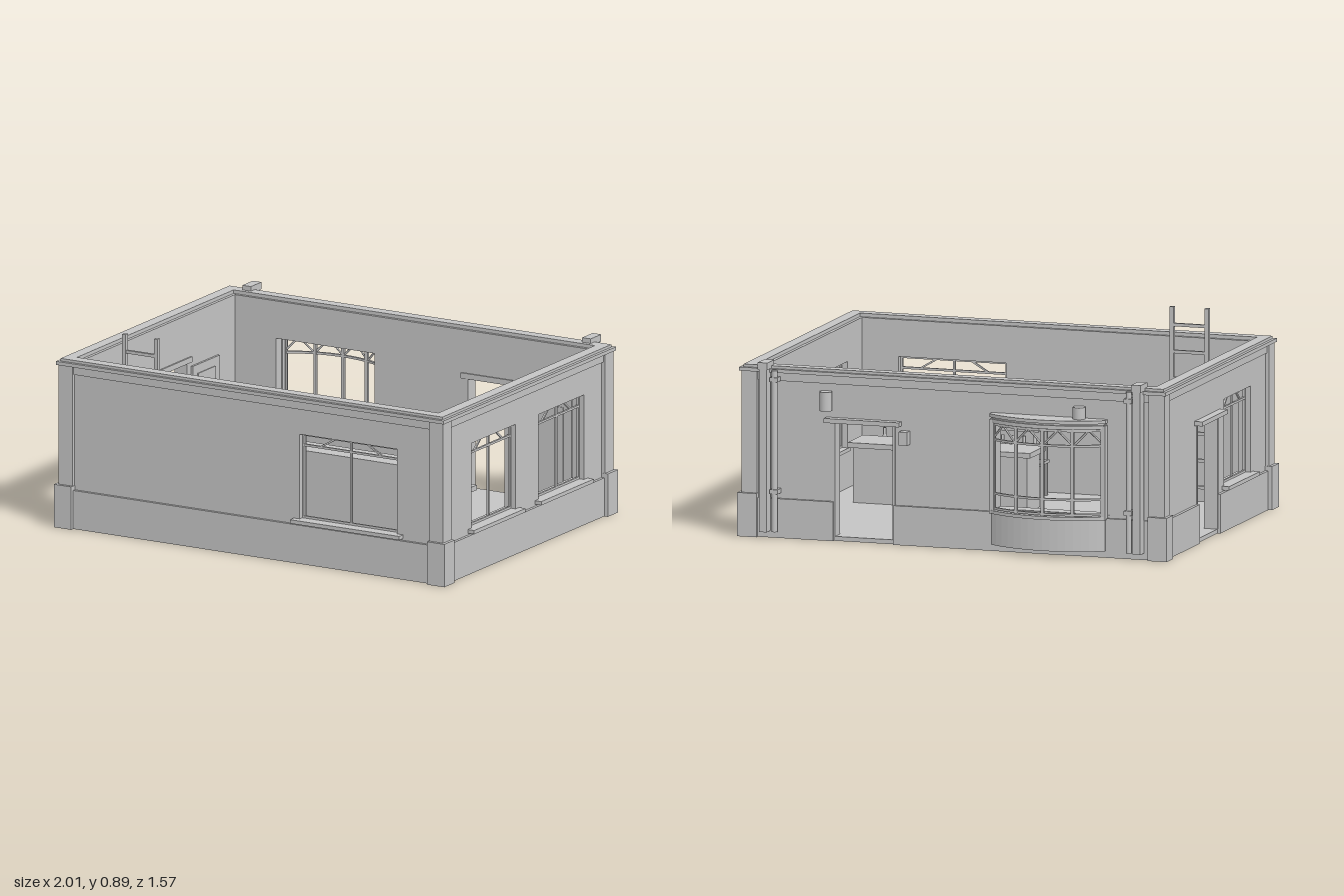
import * as THREE from 'three';

const HX = 1.0, HZ = 0.745;
const stone = new THREE.MeshStandardMaterial({ color: 0xc4c4c4 });
stone.name = 'plain grey';

function add(parent, name, geometry) {
  const mesh = new THREE.Mesh(geometry, stone);
  mesh.name = name;
  parent.add(mesh);
  return mesh;
}

// Box given by its limits on each axis
function box(parent, name, x0, x1, y0, y1, z0, z1) {
  const mesh = add(parent, name, new THREE.BoxGeometry(x1 - x0, y1 - y0, z1 - z0));
  mesh.position.set((x0 + x1) / 2, (y0 + y1) / 2, (z0 + z1) / 2);
  return mesh;
}

// Thin square bar between two points in a vertical plane
function bar(parent, name, xa, ya, xb, yb, z, t) {
  const mesh = add(parent, name, new THREE.BoxGeometry(Math.hypot(xb - xa, yb - ya), t, t));
  mesh.position.set((xa + xb) / 2, (ya + yb) / 2, z);
  mesh.rotation.z = Math.atan2(yb - ya, xb - xa);
}

function rectPoints(x0, x1, y0, y1) {
  return [[x0, y0], [x1, y0], [x1, y1], [x0, y1]].map(p => new THREE.Vector2(...p));
}

// Horizontal slab from a plan outline whose y axis points to -z
function slab(parent, name, shape, y0, y1) {
  const g = new THREE.ExtrudeGeometry(shape, { depth: y1 - y0, bevelEnabled: false });
  g.rotateX(-Math.PI / 2);
  const mesh = add(parent, name, g);
  mesh.position.y = y0;
  return mesh;
}

// Rectangular band around the building, inset from the footprint
function ring(parent, name, outer, inner, y0, y1) {
  const shape = new THREE.Shape(rectPoints(-HX + outer, HX - outer, -HZ + outer, HZ - outer));
  shape.holes.push(new THREE.Path(rectPoints(-HX + inner, HX - inner, -HZ + inner, HZ - inner)));
  slab(parent, name, shape, y0, y1);
}

// Casement with a centre mullion, transom and slanting top glazing bars
function windowFrame(wall, a, b, d) {
  const g = new THREE.Group(), m = (a + b) / 2, w = b - a, z = d - 0.06, t = 0.01;
  g.name = 'window';
  wall.add(g);
  box(g, 'windowSill', a - 0.03, b + 0.03, 0.183, 0.2, d - 0.096, d + 0.001);
  for (const x of [a + t / 2, m, b - t / 2]) bar(g, 'mullion', x, 0.2, x, 0.585, z, t);
  for (const y of [0.205, 0.532, 0.58]) bar(g, 'windowRail', a, y, b, y, z, t);
  for (const s of [-1, 1]) bar(g, 'slantedBar', m + s * w * 0.32, 0.532, m + s * w * 0.16, 0.58, z, 0.008);
}

// Doorway trim and the leaf swung flat against the inner wall
function doorway(wall, a, b, d, leafSide) {
  const g = new THREE.Group();
  g.name = 'doorway';
  wall.add(g);
  box(g, 'innerHeader', a - 0.03, b + 0.03, 0.53, 0.555, d - 0.097, d - 0.09);
  box(g, 'outerHeader', a - 0.035, b + 0.035, 0.53, 0.55, d - 0.04, d + 0.006);
  for (const x of [a, b]) box(g, 'doorJamb', x - 0.006, x + 0.006, 0.02, 0.53, d - 0.092, d - 0.028);
  const e = leafSide > 0 ? b + 0.03 : a - 0.03 - 0.23;
  box(g, 'doorLeaf', e, e + 0.23, 0.025, 0.51, d - 0.1, d - 0.09);
  box(g, 'doorPanel', e + 0.04, e + 0.19, 0.07, 0.47, d - 0.104, d - 0.1);
}

// One wall; local x runs along it and local z points outward
function makeWall(parent, name, turn, d, half, plinthHalf, windows, doors, bay) {
  const wall = new THREE.Group();
  wall.name = name;
  wall.rotation.y = turn;
  parent.add(wall);
  const shape = new THREE.Shape(rectPoints(-half, half, 0.0, 0.75));
  const hole = (a, b, y0, y1) => shape.holes.push(new THREE.Path(rectPoints(a, b, y0, y1)));
  windows.forEach(([a, b]) => hole(a, b, 0.2, 0.585));
  doors.forEach(([a, b]) => hole(a, b, 0.02, 0.53));
  if (bay) hole(bay[0], bay[1], 0.185, 0.58);
  const g = new THREE.ExtrudeGeometry(shape, { depth: 0.058, bevelEnabled: false });
  add(wall, name + 'Panel', g).position.z = d - 0.09;
  // Plinth broken by the doorways
  let start = -plinthHalf;
  for (const [a, b] of [...doors, [plinthHalf, 0]]) {
    box(wall, 'plinth', start, a, 0, 0.175, d - 0.035, d - 0.018);
    start = b;
  }
  windows.forEach(([a, b]) => windowFrame(wall, a, b, d));
  doors.forEach(([a, b, side]) => doorway(wall, a, b, d, side));
  return wall;
}

// Bowed window on the back wall
const BAY_X = 0.445, BAY_A = 0.27, BAY_S = 0.08;
const BAY_R = (BAY_A * BAY_A + BAY_S * BAY_S) / (2 * BAY_S);
function bayPoint(t, inset) {
  const ang = t * Math.asin(BAY_A / BAY_R), r = BAY_R - inset;
  return new THREE.Vector2(BAY_X + r * Math.sin(ang), -(HZ + BAY_S - BAY_R + r * Math.cos(ang)));
}
function arc(inset) {
  return Array.from({ length: 17 }, (_, i) => bayPoint(i / 8 - 1, inset));
}
function makeBay(wall) {
  const bay = new THREE.Group();
  bay.name = 'bowWindow';
  wall.add(bay);
  const solid = inset => {
    const p = arc(inset), back = -(HZ - 0.04);
    return new THREE.Shape([new THREE.Vector2(p[0].x, back), ...p, new THREE.Vector2(p[16].x, back)]);
  };
  const band = (i, w) => new THREE.Shape([...arc(i), ...arc(i + w).reverse()]);
  slab(bay, 'bowApron', solid(0.008), 0.03, 0.17);
  slab(bay, 'bowSill', solid(0), 0.17, 0.185);
  slab(bay, 'bowHead', solid(0.004), 0.575, 0.592);
  slab(bay, 'bowCap', solid(0), 0.6, 0.615);
  slab(bay, 'bowCapCore', solid(0.015), 0.592, 0.6);
  for (const y of [0.188, 0.255, 0.495, 0.563]) slab(bay, 'bowRail', band(0.012, 0.012), y, y + 0.01);
  const n = 4;
  for (let i = 0; i <= n; i++) {
    const p = bayPoint((i / n * 2 - 1) * 0.97, 0.018);
    box(bay, 'bowPost', p.x - 0.007, p.x + 0.007, 0.185, 0.576, -p.y - 0.007, -p.y + 0.007);
  }
  // Slanting bars above the transom
  for (let i = 0; i < n * 2; i++) {
    const a = bayPoint(i / n - 1, 0.018), b = bayPoint((i + 1) / n - 1, 0.018), up = i % 2;
    const va = new THREE.Vector3(a.x, up ? 0.57 : 0.5, -a.y), vb = new THREE.Vector3(b.x, up ? 0.5 : 0.57, -b.y);
    add(bay, 'bowSlantedBar', new THREE.TubeGeometry(new THREE.LineCurve3(va, vb), 1, 0.005, 4));
  }
  for (const x of [BAY_X - BAY_A + 0.01, BAY_X + BAY_A - 0.01])
    box(bay, 'bowReturn', x - 0.01, x + 0.01, 0.17, 0.59, HZ - 0.04, HZ + 0.004);
}

export function createModel() {
  const model = new THREE.Group();
  model.name = 'shopBuilding';
  const shell = new THREE.Group();
  shell.name = 'shell';
  shell.position.z = 0.04;
  model.add(shell);

  // Floor, frieze, cornice and coping
  box(shell, 'floor', -0.97, 0.97, 0.002, 0.02, -HZ + 0.03, HZ - 0.03);
  ring(shell, 'frieze', 0.024, 0.06, 0.7, 0.738);
  ring(shell, 'cornice', 0.007, 0.06, 0.738, 0.754);
  ring(shell, 'coping', 0.022, 0.075, 0.75, 0.766);

  // Corner piers
  for (const sx of [-1, 1]) for (const sz of [-1, 1]) {
    const pier = (name, o, i, y0, y1) => {
      const m = add(shell, name, new THREE.BoxGeometry(i - o, y1 - y0, i - o));
      m.position.set(sx * (HX - (o + i) / 2), (y0 + y1) / 2, sz * (HZ - (o + i) / 2));
    };
    pier('pierBase', 0, 0.089, 0, 0.195);
    pier('pierShaft', 0.015, 0.088, 0.195, 0.738);
  }

  // Four walls
  makeWall(shell, 'frontWall', 0, HZ, 0.968, 0.95, [[0.24, 0.74]], []);
  makeWall(shell, 'leftWall', Math.PI / 2, HX, 0.655, 0.7, [[-0.46, -0.08], [0.115, 0.505]], []);
  makeWall(shell, 'rightWall', -Math.PI / 2, HX, 0.655, 0.7, [[0.11, 0.46]], [[-0.25, 0.02, -1]]);
  const back = makeWall(shell, 'backWall', Math.PI, HZ, 0.968, 0.95, [], [[-0.56, -0.28, -1]], [0.195, 0.7]);
  makeBay(back);
  box(back, 'bowInnerSill', 0.175, 0.74, 0.172, 0.188, HZ - 0.097, HZ - 0.03);
  box(back, 'bracketLantern', -0.245, -0.205, 0.45, 0.51, HZ - 0.033, HZ + 0.008);

  // Wall lamps, drainpipes and hoppers
  for (const s of [-1, 1]) {
    const lamp = add(back, 'wallLamp', new THREE.CylinderGeometry(0.028, 0.028, 0.085, 20));
    lamp.position.set(s * 0.59, 0.625, HZ - 0.008);
    box(back, 'wallLampBracket', s * 0.59 - 0.012, s * 0.59 + 0.012, 0.6, 0.65, HZ - 0.035, HZ - 0.01);
    box(back, 'drainHopper', s * 0.87 - 0.022, s * 0.87 + 0.022, 0.755, 0.787, HZ - 0.055, HZ + 0.035);
    box(back, 'drainPipe', s * 0.87 - 0.018, s * 0.87 + 0.018, 0.03, 0.755, HZ - 0.02, HZ + 0.03);
    const pipe = add(back, 'thinPipe', new THREE.CylinderGeometry(0.013, 0.013, 0.72, 12));
    pipe.position.set(s * 0.825, 0.39, HZ + 0.003);
    for (const y of [0.2, 0.7]) box(back, 'pipeClip', s * 0.825 - 0.018, s * 0.825 + 0.018, y, y + 0.02, HZ - 0.035, HZ + 0.018);
  }

  // Counter
  const counter = new THREE.Group();
  counter.name = 'counter';
  model.add(counter);
  box(counter, 'counterTop', -0.065, 0.785, 0.267, 0.29, 0.145, 0.35);
  box(counter, 'counterBody', -0.045, 0.765, 0.02, 0.267, 0.165, 0.33);

  // Bottle shelves
  const shelves = new THREE.Group();
  shelves.name = 'bottleShelves';
  model.add(shelves);
  box(shelves, 'shelfBack', 0.02, 0.78, 0.02, 0.47, 0.615, 0.63);
  box(shelves, 'shelfCabinet', 0.03, 0.77, 0.02, 0.165, 0.51, 0.615);
  for (const y of [0.165, 0.322, 0.462]) box(shelves, 'shelfBoard', 0.015, 0.785, y, y + 0.014, 0.49, 0.63);
  const profile = [[0, 0], [0.018, 0], [0.018, 0.062], [0.007, 0.085], [0.007, 0.115], [0, 0.115]]
    .map(p => new THREE.Vector2(...p));
  const bottle = new THREE.LatheGeometry(profile, 10);
  for (const y of [0.179, 0.336]) for (let i = 0; i < 15; i++)
    add(shelves, 'bottle', bottle).position.set(0.05 + i * 0.05, y, 0.54);

  // Ladder
  const ladder = new THREE.Group();
  ladder.name = 'ladder';
  model.add(ladder);
  for (const x of [-0.711, -0.548]) box(ladder, 'ladderRail', x - 0.009, x + 0.009, 0.02, 0.89, 0.648, 0.668);
  for (let i = 0; i < 7; i++) bar(ladder, 'ladderRung', -0.711, 0.81 - i * 0.12, -0.548, 0.81 - i * 0.12, 0.656, 0.014);
  return model;
}
